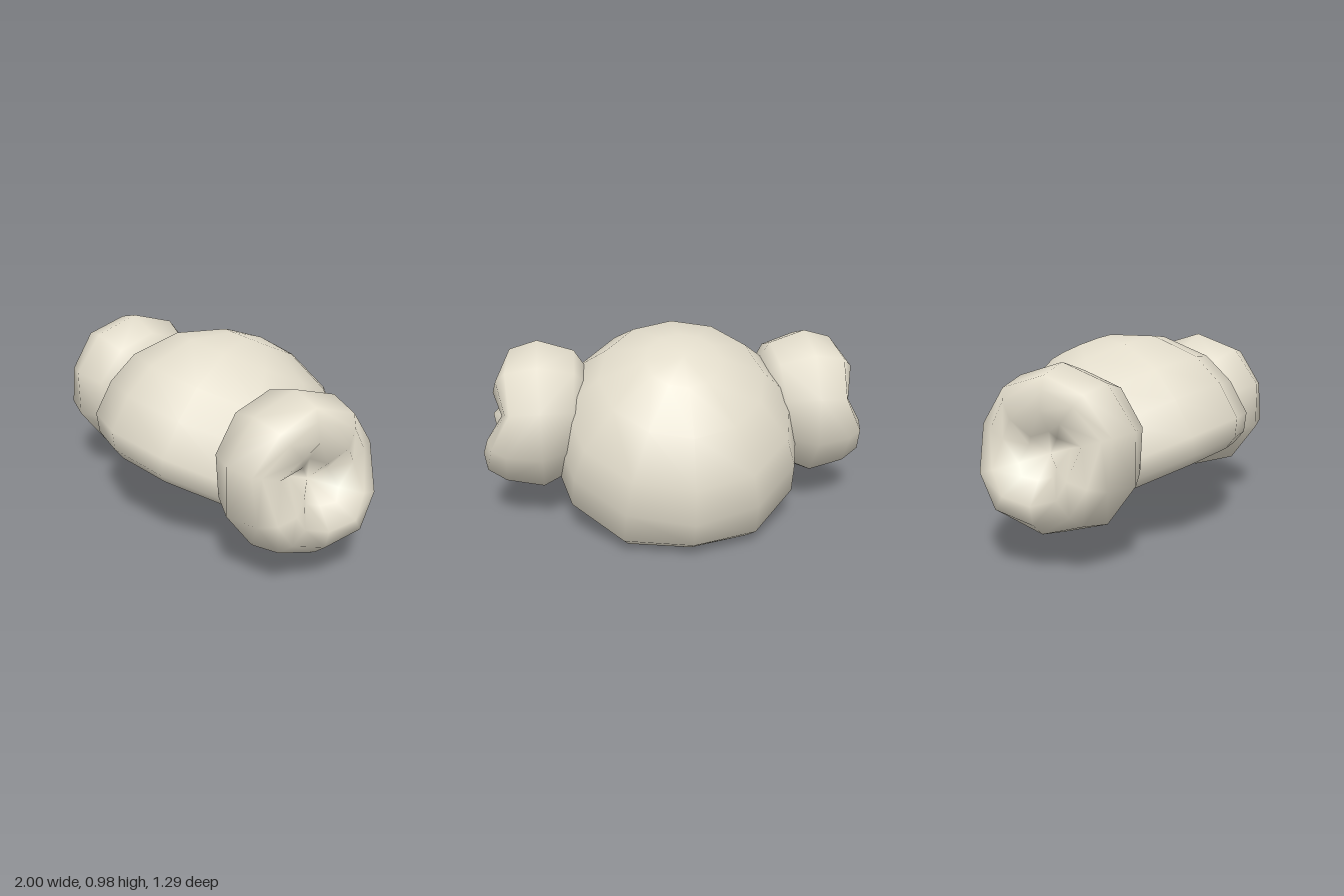
import * as THREE from 'three';
import { mergeVertices } from 'three/addons/utils/BufferGeometryUtils.js';

// Revolved [radius, height] profile with welded seam, ready for reshaping
function revolve(profile, sides, start = 0) {
  const points = profile.map(([r, h]) => new THREE.Vector2(r, h));
  const geo = new THREE.LatheGeometry(points, sides, start);
  geo.deleteAttribute('uv');
  geo.deleteAttribute('normal');
  return mergeVertices(geo, 1e-4);
}

// Dome with a shallow hollow underneath, rolled rim, then outer shell
function domeGeometry() {
  const geo = revolve([
    [0, 0.29], [0.25, 0.28], [0.39, 0.235], [0.45, 0.175], [0.49, 0.15],
    [0.55, 0.14], [0.62, 0.175], [0.67, 0.26], [0.655, 0.445], [0.59, 0.615],
    [0.42, 0.795], [0.19, 0.9], [0, 0.925],
  ], 12);
  geo.scale(0.975, 1, 1);
  // Raise the rim at the nape
  const p = geo.attributes.position;
  for (let i = 0; i < p.count; i++) {
    const nape = Math.abs(p.getX(i)) < 0.01 && p.getZ(i) < -0.48;
    if (nape && p.getY(i) < 0.3) p.setY(i, p.getY(i) + 0.05);
  }
  geo.computeVertexNormals();
  return geo;
}

// Outward swell of the bun's face by column, from the bottom round the back
const SWELL = [0.045, 0.085, 0.055, -0.025, 0.015, -0.04, -0.015, -0.07, 0.045, 0.02];

// Rounded bun with a dimpled, lobed outer face
function bunGeometry(side) {
  const geo = revolve([
    [0, -0.245], [0.13, -0.245], [0.25, -0.21], [0.33, -0.15], [0.39, 0],
    [0.35, 0.155], [0.29, 0.195], [0.2, 0.215], [0.1, 0.15], [0, 0.1],
  ], 10, Math.PI / 2);
  geo.rotateZ(-Math.PI / 2);
  const p = geo.attributes.position;
  for (let i = 0; i < p.count; i++) {
    let x = p.getX(i);
    const y = p.getY(i), z = p.getZ(i);
    const r = Math.hypot(y, z);
    if (x > 0.12 && r > 0.05) {
      const column = (Math.round(Math.atan2(-z, -y) / (Math.PI / 5)) + 10) % 10;
      x += SWELL[column] * Math.min(1, (0.38 - r) / 0.08);
    }
    if (x < -0.1) x -= 0.1 * y; // lean of the face against the dome
    p.setX(i, x * side);
  }
  if (side < 0) {
    const a = geo.index.array;
    for (let i = 0; i < a.length; i += 3) [a[i], a[i + 1]] = [a[i + 1], a[i]];
  }
  geo.computeVertexNormals();
  return geo;
}

export function createModel() {
  const model = new THREE.Group();
  model.name = 'hairWithBuns';
  const cream = new THREE.MeshStandardMaterial({ name: 'cream', color: 0xe2dccb });

  // Tilted main dome
  const dome = new THREE.Mesh(domeGeometry(), cream);
  dome.name = 'dome';
  dome.rotation.x = -0.45;
  dome.position.set(0, 0.075, 0.155);
  model.add(dome);

  // Side buns
  for (const side of [1, -1]) {
    const bun = new THREE.Mesh(bunGeometry(side), cream);
    bun.name = side > 0 ? 'leftBun' : 'rightBun';
    bun.position.set(0.7 * side, 0.529, 0.105);
    model.add(bun);
  }
  return model;
}
